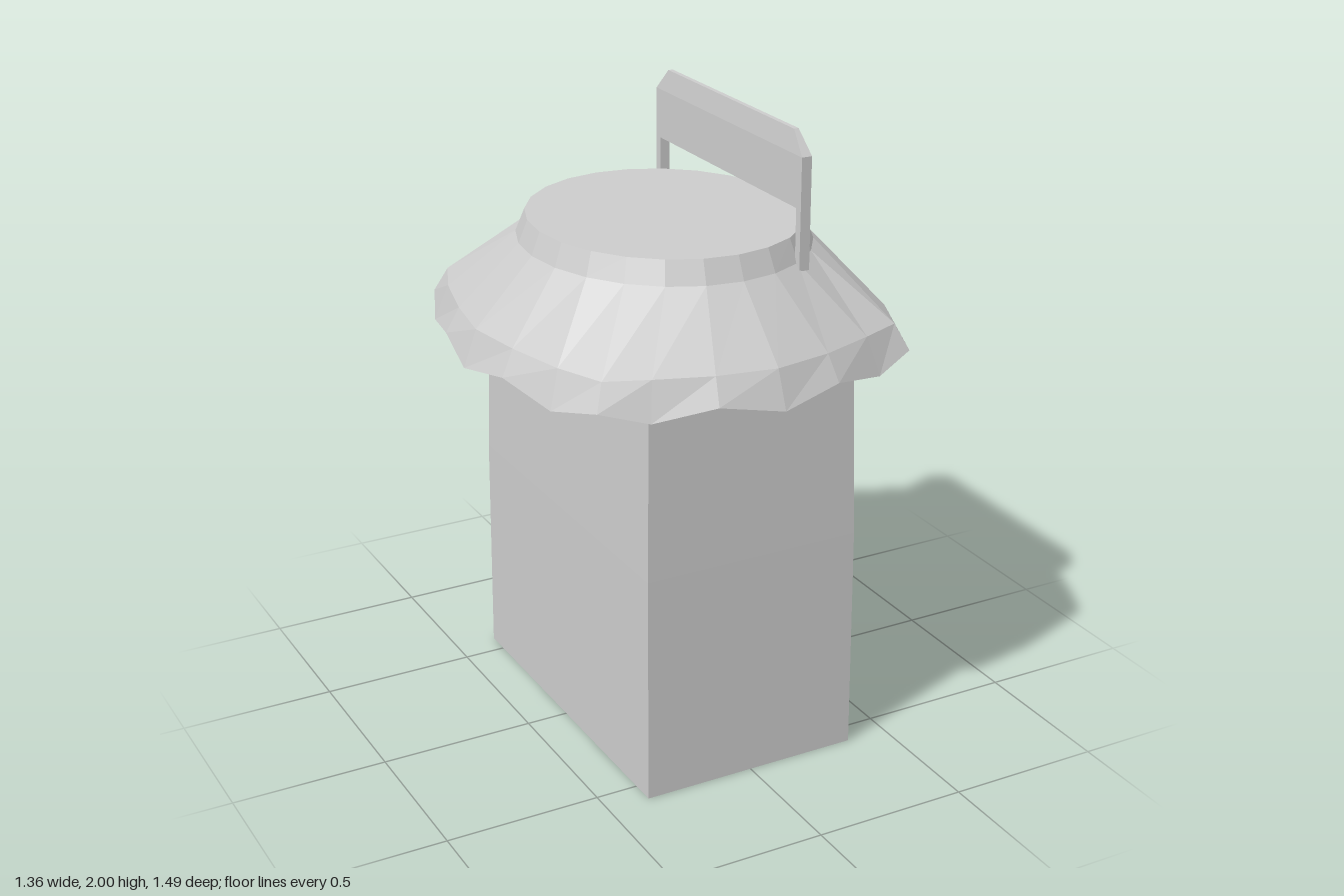
import * as THREE from 'three';

const material = new THREE.MeshStandardMaterial({ color: 0xcccccc, flatShading: true, side: THREE.DoubleSide });

// Mesh from a list of four-cornered faces (corners anticlockwise from outside)
function quadMesh(name, quads) {
  const pos = [];
  for (const [a, b, c, d] of quads) pos.push(...a, ...b, ...c, ...a, ...c, ...d);
  const geo = new THREE.BufferGeometry();
  geo.setAttribute('position', new THREE.Float32BufferAttribute(pos, 3));
  geo.computeVertexNormals();
  const mesh = new THREE.Mesh(geo, material);
  mesh.name = name;
  return mesh;
}

// Quads joining two closed rings, lower one first
function joinRings(low, high) {
  return low.map((p, i) => {
    const j = (i + 1) % low.length;
    return [p, low[j], high[j], high[i]];
  });
}

// Slightly tapered open-bottomed housing with an opening on its left side
function createBody() {
  const group = new THREE.Group();
  group.name = 'body';
  const ring = (x, y, z) => [[x, y, z], [x, y, -z], [-x, y, -z], [-x, y, z]];
  const base = ring(0.363, 0, 0.58);
  const sill = ring(0.36, 0.74, 0.575);
  const top = ring(0.345, 1.42, 0.555);

  group.add(quadMesh('lowerWalls', joinRings(base, sill)));
  group.add(quadMesh('upperWalls', joinRings(sill, top).slice(1)));
  group.add(quadMesh('ledge', [sill]));
  group.add(quadMesh('ceiling', [top]));

  // Bevelled frame turned inward around the opening
  const inset = ([x, y, z], drop) => [x - 0.05, y - drop, z - Math.sign(z) * 0.03];
  const outer = [sill[0], top[0], top[1], sill[1]];
  const inner = [inset(sill[0], 0), inset(top[0], 0.03), inset(top[1], 0.03), inset(sill[1], 0)];
  group.add(quadMesh('openingFrame', [0, 1, 2].map(i => [outer[i], inner[i], inner[i + 1], outer[i + 1]])));
  return group;
}

// Flared roof with a squarish scalloped rim and an oval flat lid
function createRoof() {
  const group = new THREE.Group();
  group.name = 'roof';
  const count = 24;
  // One quarter of the rim, from +x round to +z
  const quarter = [[0.68, 0], [0.648, 0.21], [0.595, 0.425], [0.527, 0.588], [0.385, 0.645], [0.2, 0.71], [0, 0.745]];
  const rimPoint = i => {
    const q = Math.floor(i / 6), r = i % 6;
    const [x, z] = quarter[q % 2 ? 6 - r : r];
    return [q === 1 || q === 2 ? -x : x, q >= 2 ? -z : z];
  };
  const indices = Array.from({ length: count }, (_, i) => (count - i) % count);
  const rim = (scale, y, wave) => indices.map(i => {
    const [x, z] = rimPoint(i);
    return [x * scale, y + (i % 2 ? wave : 0), z * scale];
  });
  const oval = (rx, y, rz) => indices.map(i => {
    const a = (i / count) * Math.PI * 2;
    return [rx * Math.cos(a), y, rz * Math.sin(a)];
  });
  const rings = [
    rim(1, 1.283, 0.037),
    rim(0.937, 1.4, 0),
    oval(0.448, 1.6, 0.495),
    oval(0.42, 1.672, 0.462),
  ];
  ['rimBand', 'slope', 'collar'].forEach((name, i) => group.add(quadMesh(name, joinRings(rings[i], rings[i + 1]))));

  const lidGeo = new THREE.CircleGeometry(1, count);
  lidGeo.rotateX(-Math.PI / 2);
  lidGeo.scale(0.42, 1, 0.462);
  const lid = new THREE.Mesh(lidGeo, material);
  lid.name = 'lid';
  lid.position.y = 1.672;
  group.add(lid);
  return group;
}

// Upright plate on two thin legs, with a bevelled upper edge
function createHandle() {
  const group = new THREE.Group();
  group.name = 'handle';
  const box = (name, w, h, d, y, z) => {
    const mesh = new THREE.Mesh(new THREE.BoxGeometry(w, h, d), material);
    mesh.name = name;
    mesh.position.set(0, y, z);
    group.add(mesh);
    return mesh;
  };
  box('gripPlate', 0.034, 0.16, 0.9, 1.85, 0);
  for (const side of [-1, 1]) box('handleLeg', 0.034, 0.19, 0.026, 1.675, side * 0.437);

  const p = box('gripTop', 0.034, 0.07, 0.9, 1.965, 0).geometry.attributes.position;
  for (let i = 0; i < p.count; i++) {
    if (p.getY(i) > 0) {
      p.setX(i, p.getX(i) * 0.45);
      p.setZ(i, p.getZ(i) * 0.86);
    }
  }
  group.position.x = 0.232;
  return group;
}

export function createModel() {
  const model = new THREE.Group();
  model.name = 'lantern';
  model.add(createBody(), createRoof(), createHandle());
  return model;
}
